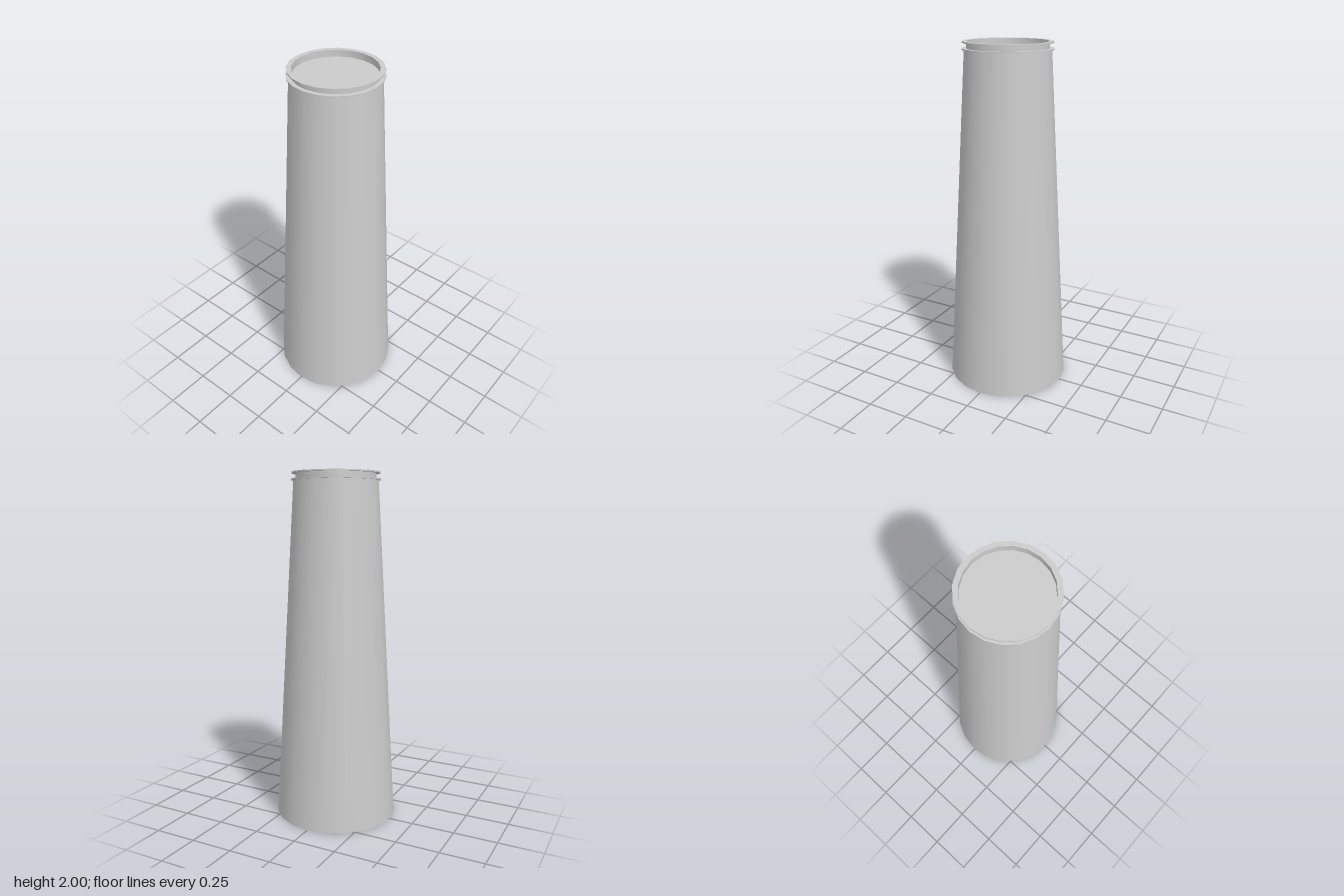
import * as THREE from 'three';
import { toCreasedNormals } from 'three/addons/utils/BufferGeometryUtils.js';

const SIDES = 20;

export function createModel() {
  const group = new THREE.Group();
  const material = new THREE.MeshStandardMaterial({ color: 0xcccccc });

  const add = (name, geometry, y = 0) => {
    const mesh = new THREE.Mesh(geometry, material);
    mesh.name = name;
    mesh.position.y = y;
    group.add(mesh);
  };

  // Tapered shaft, closed at the bottom
  add('taperedBody', new THREE.CylinderGeometry(0.24, 0.355, 1.955, SIDES), 1.955 / 2);

  // Thin disc overhanging the shaft; its top is the floor of the recess
  add('lowerFlange', new THREE.CylinderGeometry(0.252, 0.252, 0.008, SIDES), 1.959);

  // Hollow neck and the thin flange around its mouth
  const rim = [
    [0.228, 1.963], [0.228, 1.992], [0.25, 1.992],
    [0.25, 2], [0.223, 2], [0.223, 1.963],
  ].map(([r, y]) => new THREE.Vector2(r, y));
  add('neckAndUpperFlange', toCreasedNormals(new THREE.LatheGeometry(rim, SIDES), 0.6));

  return group;
}
